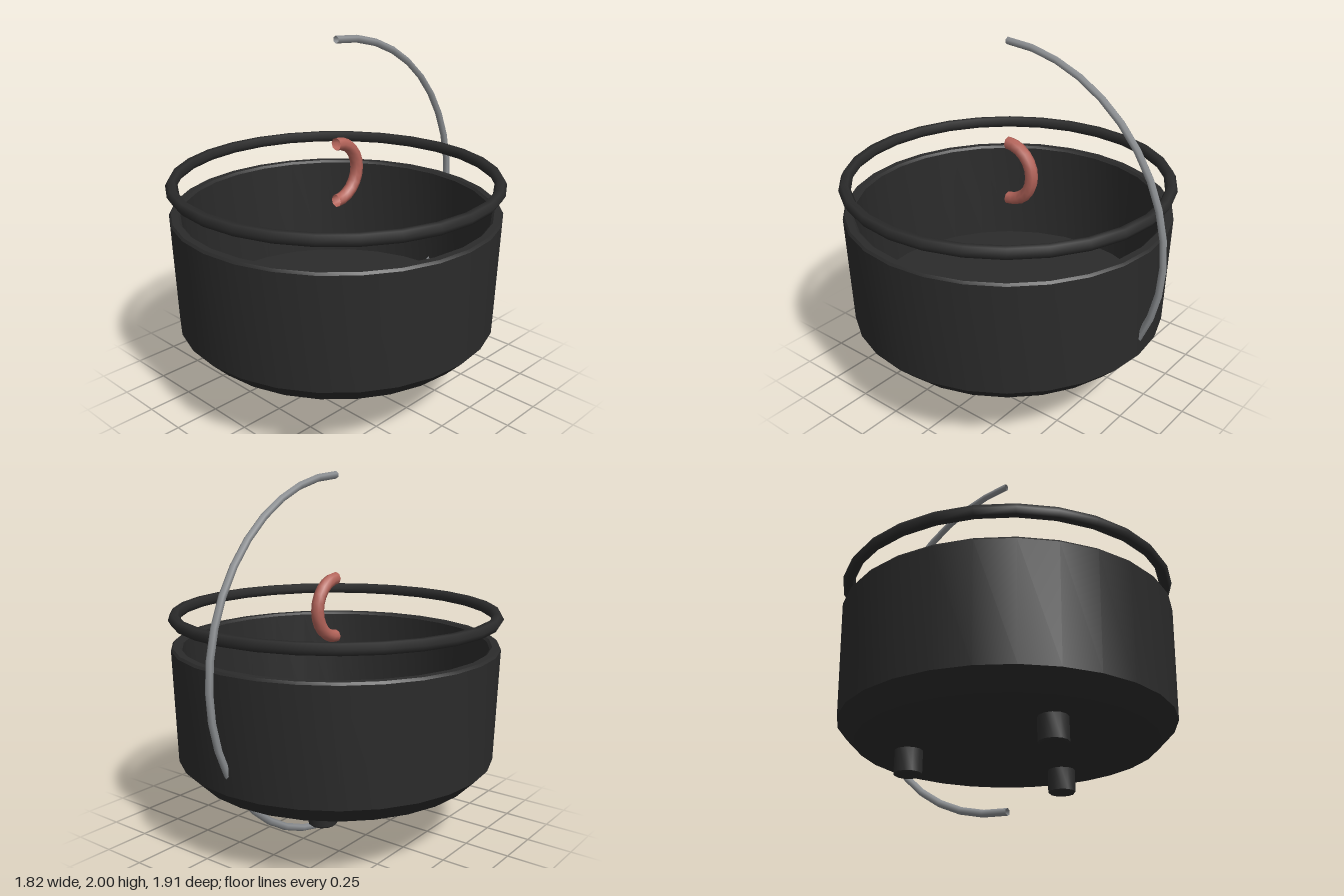
import * as THREE from 'three';
import { toCreasedNormals } from 'three/addons/utils/BufferGeometryUtils.js';

const iron = new THREE.MeshStandardMaterial({ color: 0x2b2b2b });
iron.name = 'cast iron';
const steel = new THREE.MeshStandardMaterial({ color: 0x8c8f92, side: THREE.DoubleSide });
steel.name = 'steel wire';
const copper = new THREE.MeshStandardMaterial({ color: 0xb4645a, side: THREE.DoubleSide });
copper.name = 'red grip';

const SIDES = 28;

// Turned solid with smooth walls and sharp corners
function turned(profile, sides) {
  const points = profile.map(([r, y]) => new THREE.Vector2(r, y));
  return toCreasedNormals(new THREE.LatheGeometry(points, sides), 0.55);
}

// Open half ring standing in the YZ plane, bulging towards the back
function halfRing(radius, tube, tubeSides, segments) {
  return new THREE.TorusGeometry(radius, tube, tubeSides, segments, Math.PI)
    .rotateZ(Math.PI / 2)
    .rotateY(-Math.PI / 2);
}

export function createModel() {
  const model = new THREE.Group();
  model.name = 'cookingPot';

  function add(name, geometry, material, x, y, z) {
    const mesh = new THREE.Mesh(geometry, material);
    mesh.name = name;
    mesh.position.set(x, y, z);
    model.add(mesh);
  }

  const cz = 0.045; // pot axis

  // Pot body: chamfered base, slightly flared wall, bevelled rim, hollow inside
  add('potBody', turned([
    [0, 0.355], [0.79, 0.355], [0.883, 0.45], [0.902, 1.07], [0.892, 1.083],
    [0.855, 1.083], [0.842, 1.07], [0.83, 0.475], [0, 0.475],
  ], SIDES), iron, 0, 0, cz);

  // Ring floating above the rim
  add('rimRing', new THREE.TorusGeometry(0.878, 0.033, 6, SIDES).rotateX(Math.PI / 2),
    iron, 0, 1.235, cz);

  // Three short feet
  const foot = turned([[0, 0], [0.068, 0], [0.076, 0.008], [0.076, 0.14], [0, 0.14]], 12);
  for (let i = 0; i < 3; i++) {
    const a = (i * Math.PI * 2) / 3;
    add('foot' + (i + 1), foot, iron, 0.52 * Math.cos(a), 0.223, cz + 0.52 * Math.sin(a));
  }

  // Large wire handle and small grip
  add('wireHandle', halfRing(0.98, 0.02, 6, 20), steel, 0, 1, cz);
  add('grip', halfRing(0.16, 0.035, 8, 12), copper, 0, 1.268, cz);

  return model;
}
